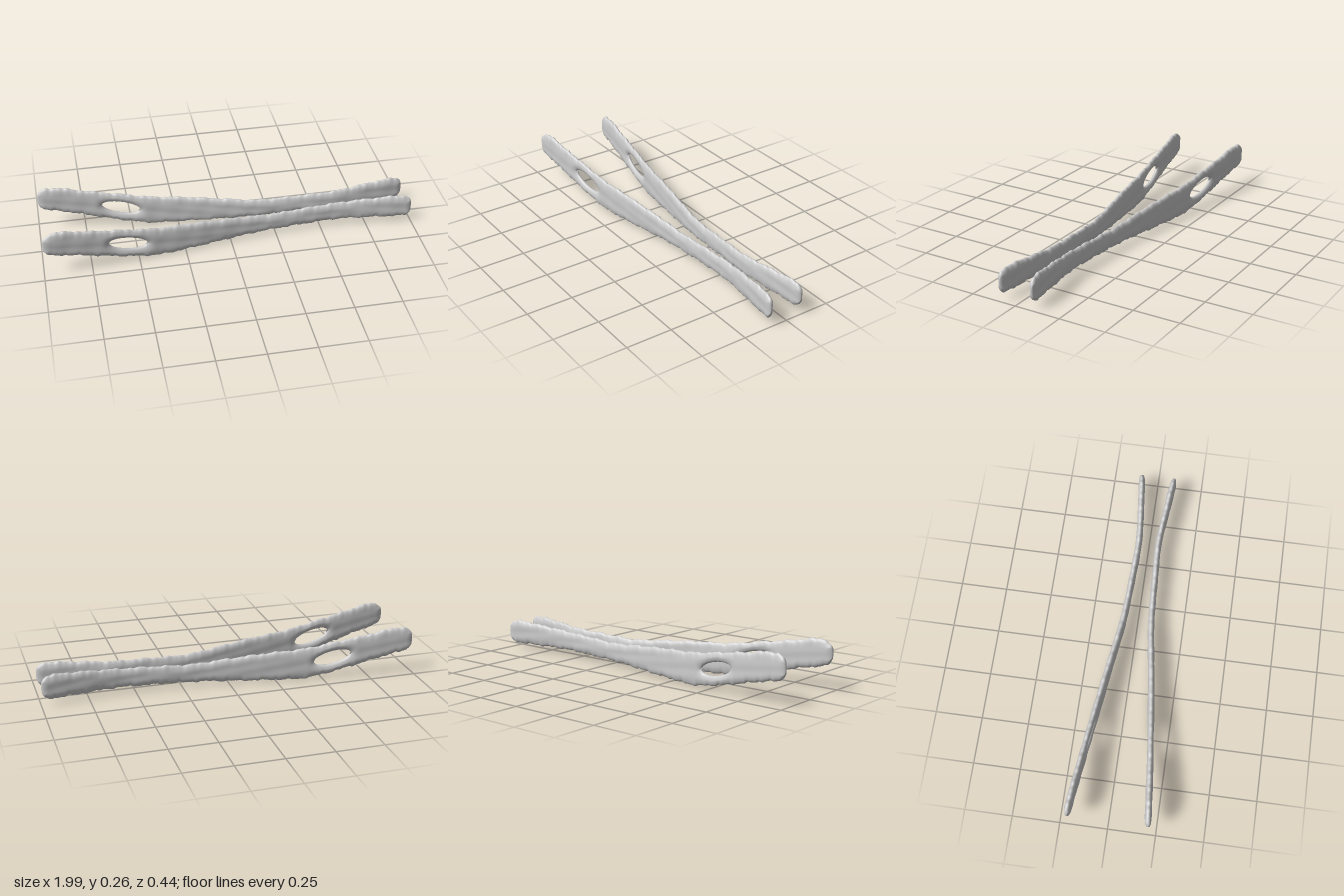
import * as THREE from 'three';
import { mergeVertices } from 'three/addons/utils/BufferGeometryUtils.js';

// Smooth curve through stations [x, value]
const curve = (pts) => {
  const c = new THREE.CubicInterpolant(pts.map((p) => p[0]), pts.map((p) => p[1]), 1, new Float32Array(1));
  return (x) => c.evaluate(x)[0];
};
const topEdge = curve([[-1, 0.26], [-0.9, 0.262], [-0.75, 0.235], [-0.6, 0.21], [-0.4, 0.178], [-0.2, 0.165],
  [0, 0.147], [0.2, 0.13], [0.4, 0.137], [0.6, 0.145], [0.8, 0.16], [0.9, 0.166], [1, 0.164]]);
const bottomEdge = curve([[-1, 0.13], [-0.9, 0.117], [-0.75, 0.082], [-0.6, 0.045], [-0.4, 0.008], [-0.2, 0.012],
  [0, 0.02], [0.2, 0.03], [0.4, 0.036], [0.6, 0.04], [0.8, 0.037], [1, 0.036]]);
const centreZ = curve([[-1, 0.208], [-0.8, 0.189], [-0.5, 0.157], [-0.2, 0.12], [0, 0.092], [0.12, 0.077],
  [0.4, 0.061], [0.6, 0.055], [0.8, 0.072], [1, 0.092]]);

const HOLE = { x: -0.555, a: 0.1, b: 0.036 };
const HALF_THICK = 0.017, RIM = 0.04, END = 0.996;
const COLS = 300, ROWS = 16;

// Uneven worn edge
const ripple = (x, k) =>
  0.0025 * Math.sin(43 * x + k) + 0.002 * Math.sin(97 * x + 2.3 * k) + 0.0015 * Math.sin(171 * x + 4.1 * k);

// Rounding of the two tips
const tip = (x) => {
  const u = Math.min(1, (x + END) / 0.07, (END - x) / 0.05);
  return Math.pow(Math.max(0, 1 - Math.pow(1 - u, 2.5)), 0.4);
};

// Distance from the rim of the oval hole
function holeDistance(x, y, mid) {
  const dx = x - HOLE.x, dy = y - mid, { a, b } = HOLE;
  const k = Math.hypot(dx / a, dy / b);
  return Math.max(0, ((k - 1) * k) / Math.hypot(dx / (a * a), dy / (b * b)));
}

// One thin strip: closed sections above and below the midline, parted by the hole
function stripGeometry(side) {
  const pos = [], index = [], ring = 2 * (ROWS + 1);
  for (const upper of [true, false]) {
    const base = pos.length / 3;
    for (let i = 0; i <= COLS; i++) {
      const x = -END * Math.cos((Math.PI * i) / COLS);
      const mid = (topEdge(x) + bottomEdge(x)) / 2;
      const half = ((topEdge(x) - bottomEdge(x)) / 2) * tip(x);
      const top = mid + half + ripple(x, 1 + side) * tip(x);
      const bottom = mid - half + ripple(x, 4 + side) * tip(x);
      const open = HOLE.b * Math.sqrt(Math.max(0, 1 - ((x - HOLE.x) / HOLE.a) ** 2));
      const lo = upper ? mid + open : bottom, hi = upper ? top : mid - open;
      for (let n = 0; n < ring; n++) {
        const front = n <= ROWS, j = front ? n : ring - 1 - n;
        const y = lo + ((hi - lo) * (1 - Math.cos((Math.PI * j) / ROWS))) / 2;
        const d = Math.max(0, Math.min(top - y, y - bottom, END - Math.abs(x), holeDistance(x, y, mid)));
        const e = 1 - Math.min(1, d / RIM);
        const bump = 1 + 0.08 * Math.sin(31 * x + 40 * y) * Math.sin(17 * x - 55 * y);
        const h = HALF_THICK * bump * Math.sqrt(Math.max(0, 1 - e * e));
        pos.push(x, y, side * (centreZ(x) + (front ? h : -h)));
      }
    }
    for (let i = 0; i < COLS; i++) {
      for (let n = 0; n < ring - 1; n++) {
        if (n === ROWS) continue; // the two faces already meet at the rim
        const a = base + i * ring + n, b = a + ring, c = b + 1, d = a + 1;
        if (side > 0) index.push(a, b, c, a, c, d);
        else index.push(a, c, b, a, d, c);
      }
    }
  }
  let geo = new THREE.BufferGeometry();
  geo.setAttribute('position', new THREE.Float32BufferAttribute(pos, 3));
  geo.setIndex(index);
  geo = mergeVertices(geo, 1e-5);
  geo.computeVertexNormals();
  return geo;
}

export function createModel() {
  const group = new THREE.Group();
  const material = new THREE.MeshStandardMaterial({ color: 0xcccccc, side: THREE.DoubleSide });
  for (const [name, side] of [['frontStrip', 1], ['backStrip', -1]]) {
    const strip = new THREE.Mesh(stripGeometry(side), material);
    strip.name = name;
    group.add(strip);
  }
  return group;
}
